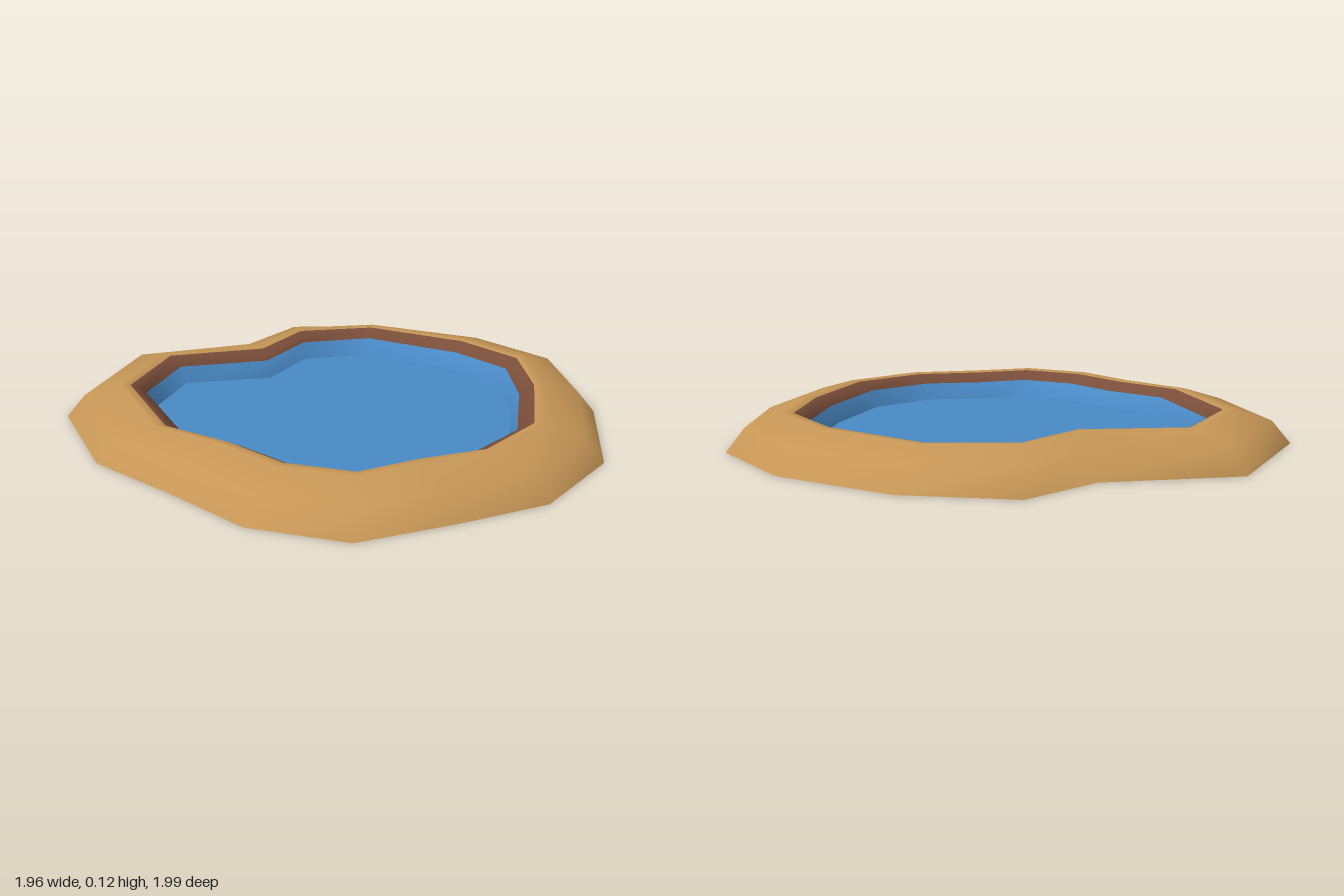
import * as THREE from 'three';

const mat = (name, color) =>
  Object.assign(new THREE.MeshStandardMaterial({ color, side: THREE.DoubleSide }), { name });

// Foot of the bank, clockwise from the back (x, z)
const outer = [
  [-0.03, -1.0], [0.36, -0.94], [0.75, -0.70], [0.98, -0.36], [0.97, 0.07],
  [0.83, 0.545], [0.54, 0.83], [0.21, 0.92], [-0.12, 0.99], [-0.43, 0.83],
  [-0.64, 0.545], [-0.87, 0.26], [-0.98, -0.21], [-0.735, -0.71], [-0.26, -0.79],
];
// Foot of the inside wall, point for point
const inner = [
  [-0.02, -0.65], [0.245, -0.67], [0.55, -0.42], [0.68, -0.205], [0.64, 0.065],
  [0.53, 0.39], [0.33, 0.55], [0.125, 0.575], [-0.04, 0.64], [-0.22, 0.55],
  [-0.35, 0.385], [-0.54, 0.24], [-0.65, -0.18], [-0.52, -0.43], [-0.19, -0.44],
];
// Bank section: [share of the way from outer to inner, height, material of the band that follows]
const section = [
  [0, 0, 0], [0.2, 0.08, 0], [0.61, 0.12, 0], [0.72, 0.117, 1], [0.89, 0.085, 2], [1, 0, 2],
];
// Water sheet, reaching under the bank
const sheet = [
  [0.57, -0.66], [0.05, -0.83], [-0.49, -0.66], [-0.79, -0.31], [-0.615, 0.39],
  [-0.47, 0.51], [-0.25, 0.83], [0.29, 0.87], [0.64, 0.60], [0.90, -0.02],
];

function bankGeometry() {
  const n = outer.length, pos = [], index = [];
  const geo = new THREE.BufferGeometry();
  for (const [t, y] of section) {
    outer.forEach(([x, z], i) => {
      const [u, w] = inner[i];
      pos.push(x + (u - x) * t, y, z + (w - z) * t);
    });
  }
  for (let j = 0; j < section.length - 1; j++) {
    geo.addGroup(index.length, n * 6, section[j][2]);
    for (let i = 0; i < n; i++) {
      const k = (i + 1) % n;
      const a = j * n + i, b = j * n + k, c = a + n, d = b + n;
      index.push(a, c, b, b, c, d);
    }
  }
  geo.setAttribute('position', new THREE.Float32BufferAttribute(pos, 3));
  geo.setIndex(index);
  geo.computeVertexNormals();
  return geo;
}

export function createModel() {
  const group = new THREE.Group();
  group.name = 'pond';
  const sand = mat('sand', 0xc69656);
  const mud = mat('wet mud', 0x7a4e3a);
  const blue = mat('water blue', 0x4a8ac6);

  // Sandy bank with a muddy lip and wet inside wall
  const bank = new THREE.Mesh(bankGeometry(), [sand, mud, blue]);
  bank.name = 'bank';

  // Flat water surface
  const shape = new THREE.Shape(sheet.map(([x, z]) => new THREE.Vector2(x, -z)));
  const water = new THREE.Mesh(new THREE.ShapeGeometry(shape).rotateX(-Math.PI / 2), blue);
  water.name = 'water';
  water.position.y = 0.022;

  group.add(bank, water);
  return group;
}
